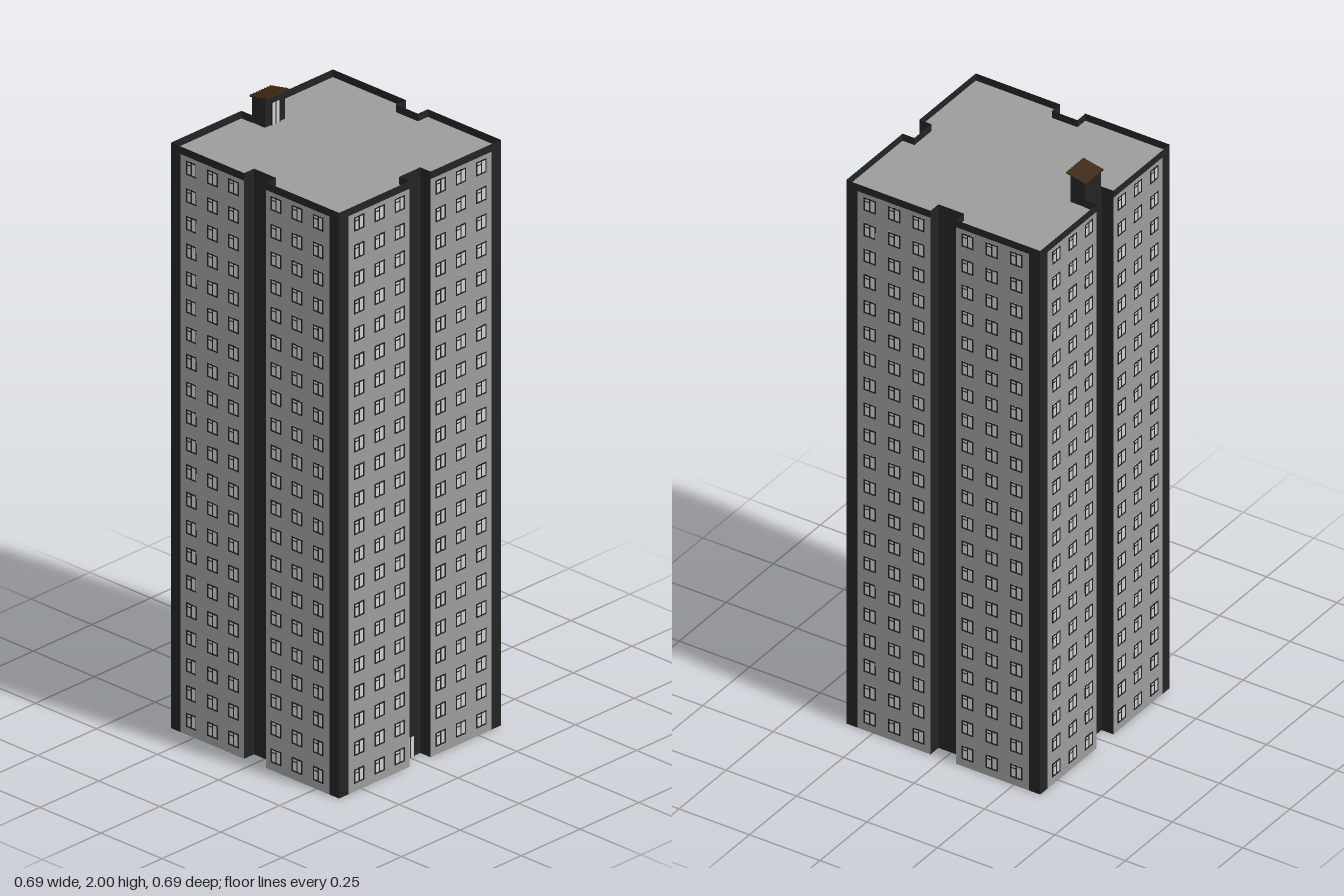
import * as THREE from 'three';
import { mergeGeometries } from 'three/addons/utils/BufferGeometryUtils.js';

const HALF = 0.344;     // half width of the tower
const NOTCH = 0.045;    // half width of the recess in each side
const DEEP = 0.302;     // distance of the recess wall from the centre
const CORNER = 0.305;   // inner edge of the dark corner strips
const ROOF_Y = 1.895, TOP_Y = 1.92;

const mat = (name, color) => {
  const m = new THREE.MeshStandardMaterial({ color, side: THREE.DoubleSide });
  m.name = name;
  return m;
};

// box given by its centre and size
const box = (x, y, z, w, h, d) => new THREE.BoxGeometry(w, h, d).translate(x, y, z);

// upright rectangle facing +z
const panel = (x0, x1, y0, y1, z) =>
  new THREE.PlaneGeometry(x1 - x0, y1 - y0).translate((x0 + x1) / 2, (y0 + y1) / 2, z);

export function createModel() {
  const wall = mat('concrete grey', 0x9c9c9c);
  const dark = mat('charcoal', 0x232323);
  const glass = mat('pale glass', 0xcfcfcf);
  const rust = mat('brown sheet', 0x3d2812);

  const model = new THREE.Group();
  model.name = 'towerBlock';
  const add = (parent, name, geometries, material) => {
    const mesh = new THREE.Mesh(mergeGeometries(geometries), material);
    mesh.name = name;
    parent.add(mesh);
    return mesh;
  };

  // one facade: two panels of windows, dark corners, recess and parapet
  const walls = [], trim = [], panes = [], frames = [];
  for (const s of [-1, 1]) {
    const span = (a, b, y0, y1) => panel(Math.min(s * a, s * b), Math.max(s * a, s * b), y0, y1, HALF);
    walls.push(span(NOTCH, CORNER, 0, ROOF_Y));
    trim.push(span(CORNER, HALF, 0, ROOF_Y), span(NOTCH, HALF, ROOF_Y, TOP_Y));
    // side wall of the recess
    trim.push(new THREE.PlaneGeometry(HALF - DEEP, TOP_Y).rotateY(-s * Math.PI / 2)
      .translate(s * NOTCH, TOP_Y / 2, (HALF + DEEP) / 2));
  }
  trim.push(panel(-NOTCH, NOTCH, 0, TOP_Y, DEEP));

  // windows
  const W = 0.042, H = 0.046, BAR = 0.004;
  for (const x of [-0.26, -0.173, -0.087, 0.087, 0.173, 0.26]) {
    for (let row = 0; row < 21; row++) {
      const y = 0.05 + row * 0.0905;
      panes.push(box(x, y, HALF, W, H, 0.002));
      for (const s of [-1, 1]) {
        frames.push(box(x + s * (W - BAR) / 2, y, HALF, BAR, H, 0.005));
        frames.push(box(x, y + s * (H - BAR) / 2, HALF, W, BAR, 0.005));
      }
      frames.push(box(x, y, HALF, BAR, H, 0.004));
      frames.push(box(x - W / 4, y + 0.01, HALF, W / 2, 0.003, 0.004));
    }
  }

  const facade = new THREE.Group();
  add(facade, 'wallPanels', walls, wall);
  add(facade, 'darkTrim', trim, dark);
  add(facade, 'windowPanes', panes, glass);
  add(facade, 'windowFrames', frames, dark);
  ['front', 'left', 'back', 'right'].forEach((name, i) => {
    const side = facade.clone();
    side.name = name + 'Facade';
    side.rotation.y = i * Math.PI / 2;
    model.add(side);
  });

  // flat roof with a recess in the middle of each side
  const outline = [];
  for (let i = 0; i < 4; i++) {
    for (const [x, y] of [[NOTCH, -DEEP], [NOTCH, -HALF], [HALF, -HALF], [HALF, -NOTCH], [DEEP, -NOTCH]]) {
      outline.push(new THREE.Vector2(x, y).rotateAround(new THREE.Vector2(), i * Math.PI / 2));
    }
  }
  const roof = new THREE.ShapeGeometry(new THREE.Shape(outline)).rotateX(-Math.PI / 2).translate(0, ROOF_Y, 0);
  add(model, 'flatRoof', [roof], wall);

  // doors: a pale leaf with a dark frame and middle bar
  const door = (name, y0, h, z) => {
    const group = new THREE.Group();
    group.name = name;
    const y = y0 + h / 2;
    add(group, 'doorLeaf', [box(0, y, z, 0.032, h, 0.003)], glass);
    add(group, 'doorFrame', [
      box(-0.0165, y, z, 0.003, h, 0.006), box(0.0165, y, z, 0.003, h, 0.006),
      box(0, y0 + h, z, 0.036, 0.003, 0.006), box(0, y, z, 0.003, h, 0.005),
    ], dark);
    model.add(group);
  };
  door('entranceDoor', 0, 0.07, DEEP + 0.001);
  door('roofDoor', ROOF_Y, 0.075, -0.248);

  // rooftop hut, its side profile extruded across x
  const profile = new THREE.Shape([[0.25, ROOF_Y], [DEEP, ROOF_Y], [DEEP, 1.981], [0.25, 1.992]]
    .map(([x, y]) => new THREE.Vector2(x, y)));
  const hut = new THREE.ExtrudeGeometry(profile, { depth: 2 * NOTCH - 0.004, bevelEnabled: false })
    .translate(0, 0, -NOTCH + 0.002).rotateY(Math.PI / 2);
  add(model, 'roofHut', [hut], dark);

  // corrugated sheet sloping down to the back
  const ridges = 8, points = [];
  for (let i = 0; i <= ridges * 2; i++) {
    points.push(new THREE.Vector2(-0.047 + 0.094 * i / (ridges * 2), i % 2 ? 0.003 : -0.001));
  }
  points.push(new THREE.Vector2(0.047, -0.004), new THREE.Vector2(-0.047, -0.004));
  const sheet = new THREE.ExtrudeGeometry(new THREE.Shape(points), { depth: 0.073, bevelEnabled: false })
    .translate(0, 0, -0.0365).rotateX(-0.2).translate(0, 1.99, -0.2735);
  add(model, 'hutRoof', [sheet], rust);

  return model;
}
